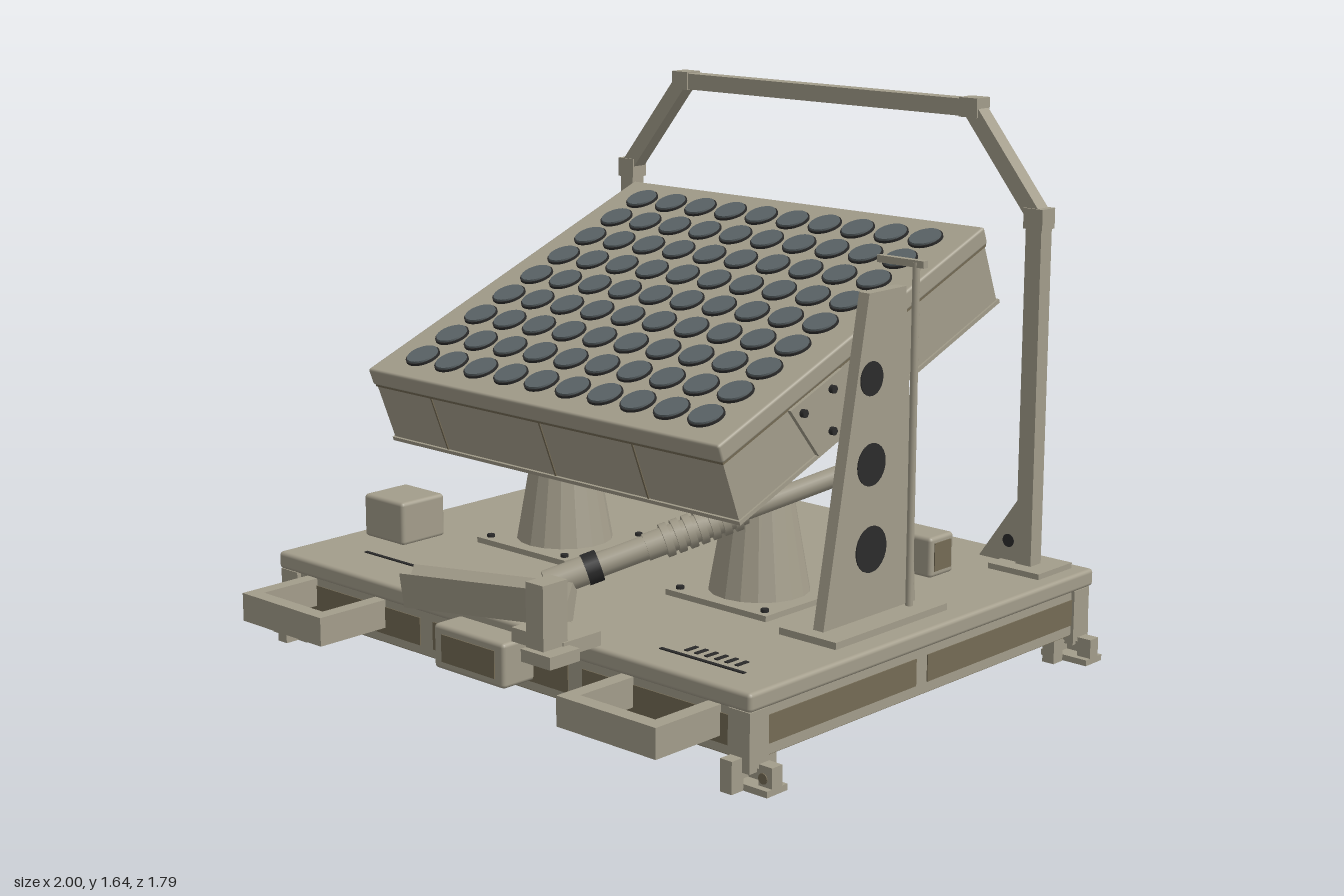
import * as THREE from 'three';
import { RoundedBoxGeometry } from 'three/addons/geometries/RoundedBoxGeometry.js';

const material = (name, color) => Object.assign(new THREE.MeshStandardMaterial({ color }), { name });
const TAN = material('tanPaint', 0xa39d8b);
const BROWN = material('brownPanel', 0x746b55);
const GLASS = material('slateLens', 0x5a6366);
const DARK = material('darkHole', 0x2b2b2b);

function add(parent, name, geometry, mat = TAN) {
  const mesh = new THREE.Mesh(geometry, mat);
  mesh.name = name;
  parent.add(mesh);
  return mesh;
}
// Box given by its limits on each axis; r rounds the edges
function box(parent, name, [x0, x1], [y0, y1], [z0, z1], mat = TAN, r = 0) {
  const s = [x1 - x0, y1 - y0, z1 - z0];
  const g = r ? new RoundedBoxGeometry(...s, 2, r) : new THREE.BoxGeometry(...s);
  const mesh = add(parent, name, g, mat);
  mesh.position.set((x0 + x1) / 2, (y0 + y1) / 2, (z0 + z1) / 2);
  return mesh;
}
// Cylinder between two points
function rod(parent, name, a, b, r, mat = TAN, sides = 20, r2 = r) {
  const d = b.clone().sub(a);
  const mesh = add(parent, name, new THREE.CylinderGeometry(r2, r, d.length(), sides), mat);
  mesh.position.copy(a).addScaledVector(d, 0.5);
  mesh.quaternion.setFromUnitVectors(new THREE.Vector3(0, 1, 0), d.normalize());
  return mesh;
}
function prism(points, depth) {
  const shape = new THREE.Shape(points.map(p => new THREE.Vector2(...p)));
  return new THREE.ExtrudeGeometry(shape, { depth, bevelEnabled: false }).translate(0, 0, -depth / 2);
}
const flat = g => { const f = g.toNonIndexed(); f.computeVertexNormals(); return f; };
const V = (x, y, z) => new THREE.Vector3(x, y, z);

function buildBase(root) {
  const g = new THREE.Group(); g.name = 'base'; root.add(g);
  box(g, 'deck', [-0.95, 0.95], [0.215, 0.268], [-0.87, 0.67], TAN, 0.012);
  box(g, 'skirt', [-0.935, 0.935], [0.08, 0.22], [-0.85, 0.65]);
  box(g, 'underside', [-0.93, 0.93], [0.076, 0.081], [-0.845, 0.645], BROWN);
  // recessed side panels
  for (const [a, b] of [[-0.87, -0.33], [-0.275, 0.275], [0.33, 0.87]]) {
    box(g, 'frontPanel', [a, b], [0.105, 0.188], [0.648, 0.653], BROWN);
    box(g, 'backPanel', [a, b], [0.105, 0.188], [-0.853, -0.848], BROWN);
  }
  for (const [a, b] of [[-0.84, -0.085], [-0.035, 0.59]])
    for (const s of [-1, 1]) {
      const m = box(g, 'sidePanel', [0.933, 0.938], [0.11, 0.188], [a, b], BROWN);
      m.position.x *= s;
    }
  // corner feet: crossed lugs around a short post
  for (const sx of [-1, 1]) for (const [z, sz] of [[0.62, 1], [-0.81, -1]]) {
    const f = new THREE.Group(); f.name = 'foot'; g.add(f);
    f.position.set(sx * 0.9, 0, z); f.scale.set(sx, 1, sz);
    f.scale.x *= 1;
    box(f, 'footPlate', [-0.06, 0.1], [0, 0.018], [-0.04, 0.04]);
    box(f, 'footLugX', [0.055, 0.1], [0.01, 0.075], [-0.02, 0.02]);
    box(f, 'footArmX', [-0.05, 0.06], [0.03, 0.06], [-0.015, 0.015]);
    box(f, 'footLugZ', [-0.02, 0.02], [0, 0.09], [0.04, 0.085]);
    box(f, 'footLugInner', [-0.02, 0.02], [0, 0.09], [-0.09, -0.045]);
    box(f, 'footArmZ', [-0.015, 0.015], [0.03, 0.06], [-0.06, 0.05]);
    box(f, 'footPost', [-0.03, 0.045], [0.05, 0.215], [-0.03, 0.045]);
    rod(f, 'footBolt', V(0.07, 0.04, 0.02), V(0.07, 0.04, 0.023), 0.015, BROWN, 12);
  }
  // open step frames and front control box
  for (const c of [-0.66, 0.655]) {
    box(g, 'stepFront', [c - 0.178, c + 0.178], [0.125, 0.21], [0.85, 0.895]);
    for (const s of [-1, 1])
      box(g, 'stepSide', [c + s * 0.156 - 0.022, c + s * 0.156 + 0.022], [0.125, 0.21], [0.64, 0.86]);
  }
  box(g, 'controlBox', [-0.145, 0.14], [0.11, 0.24], [0.64, 0.765], TAN, 0.012);
  box(g, 'controlPanel', [-0.11, 0.105], [0.135, 0.215], [0.763, 0.768], BROWN);
  // deck boxes
  box(g, 'deckBoxFront', [-0.9, -0.72], [0.265, 0.4], [0.2, 0.372], TAN, 0.012);
  box(g, 'deckBoxBack', [0.5, 0.66], [0.265, 0.388], [-0.567, -0.455], TAN, 0.012);
  box(g, 'deckBoxPanel', [0.658, 0.663], [0.285, 0.37], [-0.55, -0.472], BROWN);
  // deck slots and vents
  for (const [x, z] of [[-0.6, 0.495], [0.68, 0.555], [0.38, -0.56], [-0.45, -0.56]])
    box(g, 'deckSlot', [x - 0.15, x + 0.15], [0.266, 0.271], [z - 0.006, z + 0.006], DARK);
  for (let i = 0; i < 6; i++)
    box(g, 'ventSlot', [0.587 + i * 0.036, 0.6 + i * 0.036], [0.266, 0.271], [0.48, 0.525], DARK);
}

function buildSupports(root) {
  // tapered pedestals on bolted plates
  for (const x of [-0.395, 0.395]) {
    const g = new THREE.Group(); g.name = 'pedestal'; g.position.x = x; root.add(g);
    box(g, 'pedestalPlate', [-0.19, 0.19], [0.265, 0.285], [-0.19, 0.19]);
    add(g, 'pedestalCone', flat(new THREE.CylinderGeometry(0.055, 0.147, 0.52, 18))).position.y = 0.545;
    for (const sx of [-1, 1]) for (const sz of [-1, 1])
      rod(g, 'plateBolt', V(sx * 0.16, 0.28, sz * 0.16), V(sx * 0.16, 0.294, sz * 0.16), 0.012, DARK, 8);
  }
  // side pylon: profile drawn in z and y, then turned to face sideways
  box(root, 'pylonPlate', [0.68, 0.88], [0.265, 0.288], [-0.245, 0.245]);
  const py = add(root, 'pylon', prism([[-0.2, 0.28], [0.205, 0.28], [0.135, 1.195], [-0.025, 1.195]], 0.036)
    .rotateY(Math.PI / 2));
  py.position.x = 0.78;
  for (const [z, y, r] of [[0.01, 0.96, 0.048], [0.005, 0.72, 0.06], [0, 0.48, 0.066]])
    rod(root, 'pylonHole', V(0.759, y, z), V(0.801, y, z), r, DARK, 24);
  // upright handle
  rod(root, 'handlePole', V(0.815, 0.265, -0.155), V(0.815, 1.26, -0.155), 0.011, TAN, 10);
  box(root, 'handleArm', [0.685, 0.845], [1.246, 1.266], [-0.167, -0.147]);
}

function buildRollBar(root) {
  const g = new THREE.Group(); g.name = 'rollBar'; root.add(g);
  g.position.z = -0.732;
  box(g, 'topBar', [-0.57, 0.57], [1.59, 1.64], [-0.026, 0.026]);
  for (const s of [-1, 1]) {
    const x = s * 0.81;
    box(g, 'barPlate', [x - 0.09, x + 0.09], [0.265, 0.285], [-0.095, 0.075]);
    box(g, 'barPost', [x - 0.027, x + 0.027], [0.28, 1.32], [-0.026, 0.026]);
    box(g, 'lowerCollar', [x - 0.033, x + 0.033], [1.285, 1.345], [-0.031, 0.031]);
    box(g, 'upperCollar', [s * 0.57 - 0.033, s * 0.57 + 0.033], [1.588, 1.645], [-0.031, 0.031]);
    const a = V(x, 1.32, 0), d = V(s * 0.57, 1.615, 0).sub(a);
    const diag = add(g, 'diagonalBar', new THREE.BoxGeometry(0.05, d.length(), 0.05));
    diag.position.copy(a).addScaledVector(d, 0.5);
    diag.rotation.z = Math.atan2(-d.x, d.y);
    const tri = [[s * 0.785, 0.28], [s * 0.64, 0.28], [s * 0.785, 0.49]];
    add(g, 'gusset', prism(tri, 0.022));
    rod(g, 'gussetHole', V(s * 0.745, 0.345, -0.013), V(s * 0.745, 0.345, 0.013), 0.02, DARK, 16);
  }
}

function buildPanel(root) {
  const g = new THREE.Group(); g.name = 'tiltedPanel'; root.add(g);
  g.position.set(0, 1.0675, -0.055);
  g.rotation.x = 0.372;
  box(g, 'panelLid', [-0.697, 0.697], [-0.055, 0], [-0.612, 0.612], TAN, 0.008);
  box(g, 'panelBody', [-0.688, 0.688], [-0.24, -0.05], [-0.604, 0.604]);
  box(g, 'panelShadowGap', [-0.691, 0.691], [-0.062, -0.054], [-0.607, 0.607], BROWN);
  box(g, 'panelFloor', [-0.694, 0.694], [-0.25, -0.238], [-0.61, 0.61]);
  for (const x of [-0.45, 0, 0.36]) for (const z of [-0.605, 0.605])
    box(g, 'panelSeam', [x - 0.003, x + 0.003], [-0.238, -0.062], [z - 0.002, z + 0.002], BROWN);
  // ten by nine grid of lenses, each in a dark ring
  const ring = new THREE.CylinderGeometry(0.052, 0.052, 0.008, 24);
  const lens = new THREE.CylinderGeometry(0.047, 0.049, 0.012, 24);
  for (let i = 0; i < 10; i++) for (let j = 0; j < 9; j++) {
    const x = (i - 4.5) * 0.1253, z = (j - 4) * 0.1256;
    add(g, 'lensRing', ring, DARK).position.set(x, 0.003, z);
    add(g, 'lens', lens, GLASS).position.set(x, 0.006, z);
  }
  // side bracket with bolts
  const pts = [[-0.33, -0.06], [-0.1, -0.06], [-0.1, -0.24], [-0.27, -0.24]];
  add(g, 'sideBracket', prism(pts, 0.014).rotateY(Math.PI / 2)).position.x = 0.694;
  for (const [z, y] of [[0.29, -0.09], [0.16, -0.09], [0.2, -0.2], [0.13, -0.2]])
    rod(g, 'bracketBolt', V(0.7, y, z), V(0.714, y, z), 0.012, DARK, 10);
}

function buildActuator(root) {
  const g = new THREE.Group(); g.name = 'actuator'; root.add(g);
  const a = V(0.19, 0.395, 0.65), b = V(0.77, 0.72, -0.15);
  const at = t => a.clone().lerp(b, t);
  rod(g, 'actuatorEnd', at(0), at(0.12), 0.04);
  rod(g, 'actuatorSeal', at(0.11), at(0.15), 0.044, DARK);
  rod(g, 'actuatorTube', at(0.15), at(0.34), 0.034);
  rod(g, 'actuatorSleeve', at(0.28), at(0.56), 0.038);
  for (let i = 0; i < 7; i++) rod(g, 'sleeveRib', at(0.33 + i * 0.032), at(0.35 + i * 0.032), 0.048);
  rod(g, 'actuatorRod', at(0.5), b, 0.028);
  const foot = box(g, 'actuatorFoot', [0.16, 0.24], [0.265, 0.37], [0.6, 0.67]);
  foot.rotation.y = 0.38;
}

function buildTrough(root) {
  // angled trough with a valley along its length
  const pts = [[-0.06, 0.41], [-0.035, 0.305], [0.03, 0.305], [0.06, 0.38], [0.03, 0.412], [-0.01, 0.365]];
  const t = add(root, 'angledTrough', prism(pts, 0.48).rotateY(Math.PI / 2));
  t.position.set(0.055, 0, 0.74);
  t.rotation.y = 0.38;
  box(root, 'troughPost', [0.33, 0.395], [0.28, 0.48], [0.77, 0.86]);
  box(root, 'troughPostFoot', [0.33, 0.44], [0.265, 0.3], [0.77, 0.88]);
  box(root, 'troughArm', [0.2, 0.4], [0.27, 0.31], [0.65, 0.79]);
}

export function createModel() {
  const root = new THREE.Group();
  root.name = 'tiltingPanelRig';
  [buildBase, buildSupports, buildRollBar, buildPanel, buildActuator, buildTrough].forEach(f => f(root));
  return root;
}
